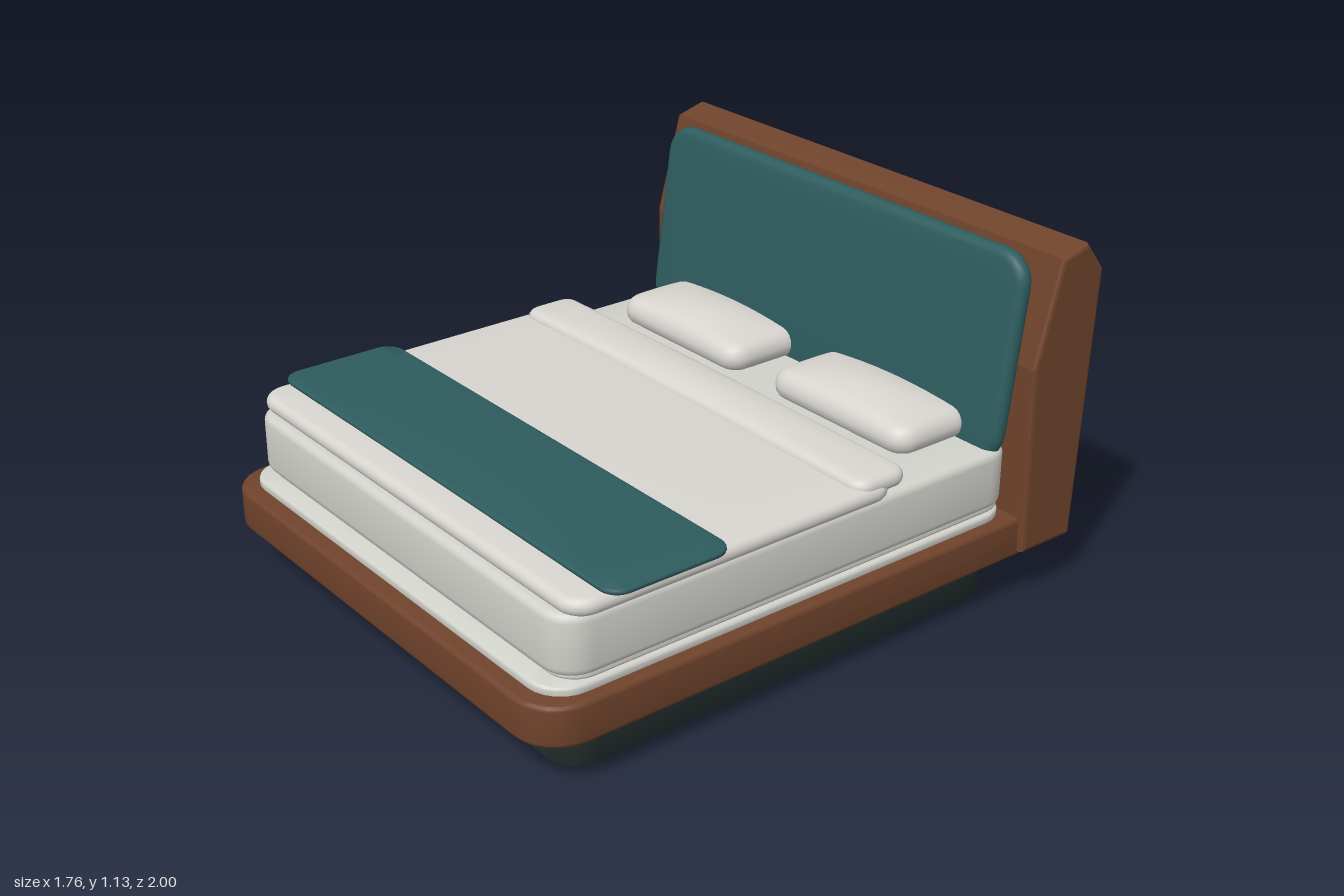
import * as THREE from 'three';
import { toCreasedNormals } from 'three/addons/utils/BufferGeometryUtils.js';

const mat = (name, color) => {
  const m = new THREE.MeshStandardMaterial({ color });
  m.name = name;
  return m;
};

// Rounded rectangle in x/z with evenly subdivided straight sides
function outline(hw, hd, r) {
  const corners = [];
  const signs = [[1, 1], [-1, 1], [-1, -1], [1, -1]];
  signs.forEach(([sx, sz], q) => {
    for (let i = 0; i <= 6; i++) {
      const a = (q + i / 6) * Math.PI / 2;
      corners.push([sx * (hw - r) + r * Math.cos(a), sz * (hd - r) + r * Math.sin(a)]);
    }
  });
  const pts = [];
  corners.forEach((p, i) => {
    pts.push(p);
    if (i % 7 !== 6) return;
    const n = corners[(i + 1) % corners.length];
    for (let k = 1; k < 6; k++) {
      pts.push([p[0] + (n[0] - p[0]) * k / 6, p[1] + (n[1] - p[1]) * k / 6]);
    }
  });
  return pts;
}

// Slab standing on y = 0: r = corner radius, e = edge rounding,
// dome / under = crowning of the top and bottom faces
function slab(w, d, h, { r = 0.1, e = 0.01, dome = 0, under = 0 } = {}) {
  const rows = [0, 0.3, 0.6, 0.85].map(s => [e, 0, s]);
  for (let k = 0; k <= 4; k++) {
    const a = k / 4 * Math.PI / 2;
    rows.push([e * (1 - Math.sin(a)), e * (1 - Math.cos(a)), 1]);
  }
  for (let k = 0; k <= 4; k++) {
    const a = k / 4 * Math.PI / 2;
    rows.push([e * (1 - Math.cos(a)), h - e + e * Math.sin(a), 1]);
  }
  [0.85, 0.6, 0.3, 0].forEach(s => rows.push([e, h, s]));

  const pos = [], index = [];
  let n = 0;
  rows.forEach(([inset, y, s]) => {
    const ring = outline(w / 2 - inset, d / 2 - inset, Math.max(r - inset, 0.005));
    n = ring.length;
    ring.forEach(([px, pz]) => {
      const x = px * s, z = pz * s;
      const f = (1 - (2 * x / w) ** 2) * (1 - (2 * z / d) ** 2);
      pos.push(x, y + (y > h / 2 ? dome : -under) * f, z);
    });
  });
  for (let i = 0; i < rows.length - 1; i++) {
    for (let j = 0; j < n; j++) {
      const a = i * n + j, b = i * n + (j + 1) % n, c = b + n, dd = a + n;
      if (i > 0) index.push(a, dd, b);
      if (i < rows.length - 2) index.push(b, dd, c);
      else index.push(b, dd, b + n);
    }
  }
  const g = new THREE.BufferGeometry();
  g.setAttribute('position', new THREE.Float32BufferAttribute(pos, 3));
  g.setIndex(index);
  return toCreasedNormals(g, 0.7);
}

export function createModel() {
  const wood = mat('walnut wood', 0x6f432c);
  const teal = mat('teal fabric', 0x2e5c5e);
  const dark = mat('dark plinth', 0x242f2f);
  const linen = mat('mattress linen', 0xd2d2cc);
  const cotton = mat('bedding cotton', 0xd8d5d0);

  const bed = new THREE.Group();
  bed.name = 'bed';
  const add = (name, geometry, material, x = 0, y = 0, z = 0) => {
    const m = new THREE.Mesh(geometry, material);
    m.name = name;
    m.position.set(x, y, z);
    bed.add(m);
    return m;
  };
  // Slab placed by its back and front z and its bottom and top y
  const layer = (name, material, w, z0, z1, y0, y1, opts, x = 0) =>
    add(name, slab(w, z1 - z0, y1 - y0, opts), material, x, y0, (z0 + z1) / 2);

  // Base
  layer('plinth', dark, 1.52, -0.76, 0.86, 0, 0.165, { r: 0.1, e: 0.008 });
  layer('platform', wood, 1.71, -0.9, 1, 0.155, 0.285, { r: 0.14, e: 0.015 });

  // Mattress stack
  layer('foundation', linen, 1.63, -0.76, 0.945, 0.27, 0.31, { r: 0.11, e: 0.01 });
  layer('mattressPiping', cotton, 1.6, -0.76, 0.885, 0.305, 0.335, { r: 0.09, e: 0.012 });
  layer('mattress', linen, 1.63, -0.76, 0.907, 0.325, 0.513, { r: 0.1, e: 0.025 });

  // Bedding
  layer('duvet', cotton, 1.66, -0.26, 0.88, 0.505, 0.558, { r: 0.08, e: 0.026, dome: 0.014 });
  layer('duvetFold', cotton, 1.64, -0.31, -0.115, 0.527, 0.582, { r: 0.05, e: 0.026, dome: 0.018 });
  layer('throwBlanket', teal, 1.715, 0.37, 0.78, 0.556, 0.574, { r: 0.06, e: 0.008, dome: 0.006 });
  for (const side of [-1, 1]) {
    layer(side > 0 ? 'leftPillow' : 'rightPillow', cotton, 0.6, -0.72, -0.41, 0.508, 0.595,
      { r: 0.07, e: 0.04, dome: 0.035 }, side * 0.38);
  }

  // Headboard: side profile (z, y) extruded across the width
  const profile = [[-0.957, 0.175], [-0.75, 0.175], [-0.737, 0.78], [-0.825, 1.105],
    [-0.925, 1.133], [-0.998, 1.04]];
  const shape = new THREE.Shape(profile.map(([z, y]) => new THREE.Vector2(z, y)));
  const bevel = 0.012;
  const board = new THREE.ExtrudeGeometry(shape, {
    depth: 1.76 - 2 * bevel, bevelSize: bevel, bevelThickness: bevel,
    bevelOffset: -bevel, bevelSegments: 2,
  });
  board.translate(0, 0, -0.88 + bevel).rotateY(-Math.PI / 2);
  add('headboard', board, wood);

  // Upholstered panel leaning against the headboard
  const panel = slab(1.63, 0.655, 0.058, { r: 0.1, e: 0.028, dome: 0.012, under: 0.004 });
  panel.translate(0, -0.029, 0).rotateX(Math.PI / 2 - 0.13);
  add('headboardCushion', panel, teal, 0, 0.785, -0.722);

  return bed;
}
